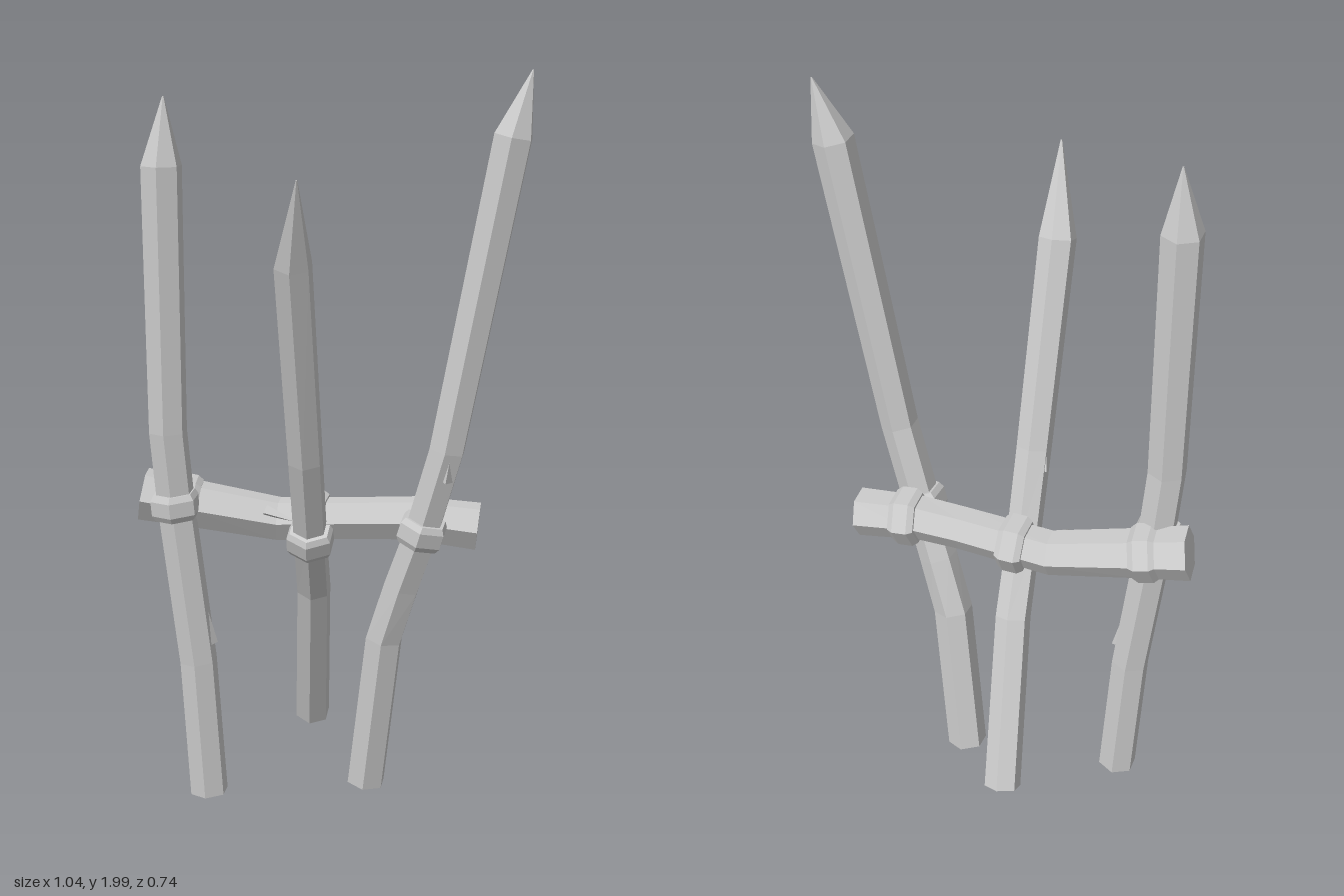
import * as THREE from 'three';

const material = new THREE.MeshStandardMaterial({ color: 0xcccccc, flatShading: true });
const vec = (p) => new THREE.Vector3(p[0], p[1], p[2]);

// Six-sided sweep along [x, y, z, radius] points; one corner faces "facing".
function sweep(name, path, facing = [0, 0, 1], sides = 6) {
  const pts = path.map(vec);
  const rings = pts.map((p, i) => {
    const t = pts[Math.min(i + 1, pts.length - 1)].clone().sub(pts[Math.max(i - 1, 0)]).normalize();
    const u = vec(facing).addScaledVector(t, -vec(facing).dot(t)).normalize();
    const v = t.clone().cross(u);
    return Array.from({ length: sides }, (_, k) => {
      const a = (k / sides) * Math.PI * 2;
      return p.clone().addScaledVector(u, Math.cos(a) * path[i][3]).addScaledVector(v, Math.sin(a) * path[i][3]);
    });
  });
  const out = [];
  const tri = (...corners) => corners.forEach((c) => out.push(c.x, c.y, c.z));
  const last = rings.length - 1;
  for (let k = 0; k < sides; k++) {
    const n = (k + 1) % sides;
    for (let i = 0; i < last; i++) {
      const a = rings[i], b = rings[i + 1];
      tri(a[k], a[n], b[n]);
      tri(a[k], b[n], b[k]);
    }
    tri(pts[0], rings[0][n], rings[0][k]);
    tri(pts[last], rings[last][k], rings[last][n]);
  }
  const geo = new THREE.BufferGeometry();
  geo.setAttribute('position', new THREE.Float32BufferAttribute(out, 3));
  geo.computeVertexNormals();
  const mesh = new THREE.Mesh(geo, material);
  mesh.name = name;
  return mesh;
}

// Bevelled binding wrapped around a pole at "center" along "dir".
function binding(name, center, dir, radius) {
  const d = vec(dir).normalize();
  const profile = [[-0.036, 0.86], [-0.02, 1], [0.02, 1], [0.036, 0.86]];
  const path = profile.map(([s, r]) => [...vec(center).addScaledVector(d, s).toArray(), r * radius]);
  return sweep(name, path);
}

// Small split sliver lying against a pole.
function splinter(pos, dir) {
  const mesh = new THREE.Mesh(new THREE.ConeGeometry(0.018, 0.1, 3), material);
  mesh.position.set(...pos);
  mesh.quaternion.setFromUnitVectors(new THREE.Vector3(0, 1, 0), vec(dir).normalize());
  mesh.name = 'splinter';
  return mesh;
}

export function createModel() {
  const group = new THREE.Group();
  group.name = 'stakeBarricade';

  // Horizontal pole, slightly crooked
  group.add(sweep('crossbar', [
    [-0.515, 0.855, -0.04, 0.073],
    [-0.38, 0.83, -0.055, 0.066],
    [-0.15, 0.79, -0.083, 0.06],
    [0.1, 0.805, -0.08, 0.058],
    [0.22, 0.81, -0.082, 0.06],
    [0.39, 0.793, -0.09, 0.065],
  ]));

  // Three sharpened stakes, with their bindings on the stake and on the crossbar
  const stakes = [
    {
      name: 'rightStake',
      path: [[-0.338, 0.01, -0.01, 0.053], [-0.36, 0.4, 0.0, 0.052], [-0.41, 0.84, 0.015, 0.052],
        [-0.425, 1.05, 0.03, 0.052], [-0.428, 1.75, 0.032, 0.055], [-0.42, 1.925, 0.03, 0.002]],
      knot: [-0.412, 0.845, 0.017], dir: [-0.08, 1, 0.04],
      bar: [-0.4, 0.834, -0.053], barDir: [1, -0.18, -0.12],
    },
    {
      name: 'middleStake',
      path: [[-0.1, 0.135, -0.325, 0.05], [-0.062, 0.58, -0.13, 0.048], [-0.052, 0.76, -0.02, 0.047],
        [-0.047, 1.0, 0.08, 0.048], [-0.045, 1.54, 0.26, 0.05], [-0.015, 1.76, 0.37, 0.002]],
      knot: [-0.052, 0.757, -0.02], dir: [0.04, 1, 0.45],
      bar: [-0.05, 0.795, -0.083], barDir: [1, 0.03, 0],
    },
    {
      name: 'leftStake',
      path: [[0.09, 0.035, -0.095, 0.054], [0.145, 0.48, -0.045, 0.053], [0.195, 0.64, -0.022, 0.052],
        [0.25, 0.8, 0.005, 0.05], [0.315, 1.03, 0.025, 0.05], [0.468, 1.84, 0.04, 0.053], [0.512, 2, 0.032, 0.002]],
      knot: [0.25, 0.8, 0.005], dir: [0.3, 1, 0.1],
      bar: [0.255, 0.807, -0.084], barDir: [1, -0.07, -0.04],
    },
  ];
  for (const s of stakes) {
    group.add(sweep(s.name, s.path));
    group.add(binding('stakeBinding', s.knot, s.dir, 0.068));
    group.add(binding('crossbarBinding', s.bar, s.barDir, 0.079));
  }

  // Splinters in the wood
  group.add(splinter([-0.328, 0.5, 0.0], [-0.1, 1, 0]));
  group.add(splinter([-0.08, 1.0, 0.065], [0, 1, 0.35]));
  group.add(splinter([0.325, 1.0, 0.055], [0.15, 1, 0]));
  group.add(splinter([-0.13, 0.81, -0.03], [1, -0.3, 0]));

  return group;
}
